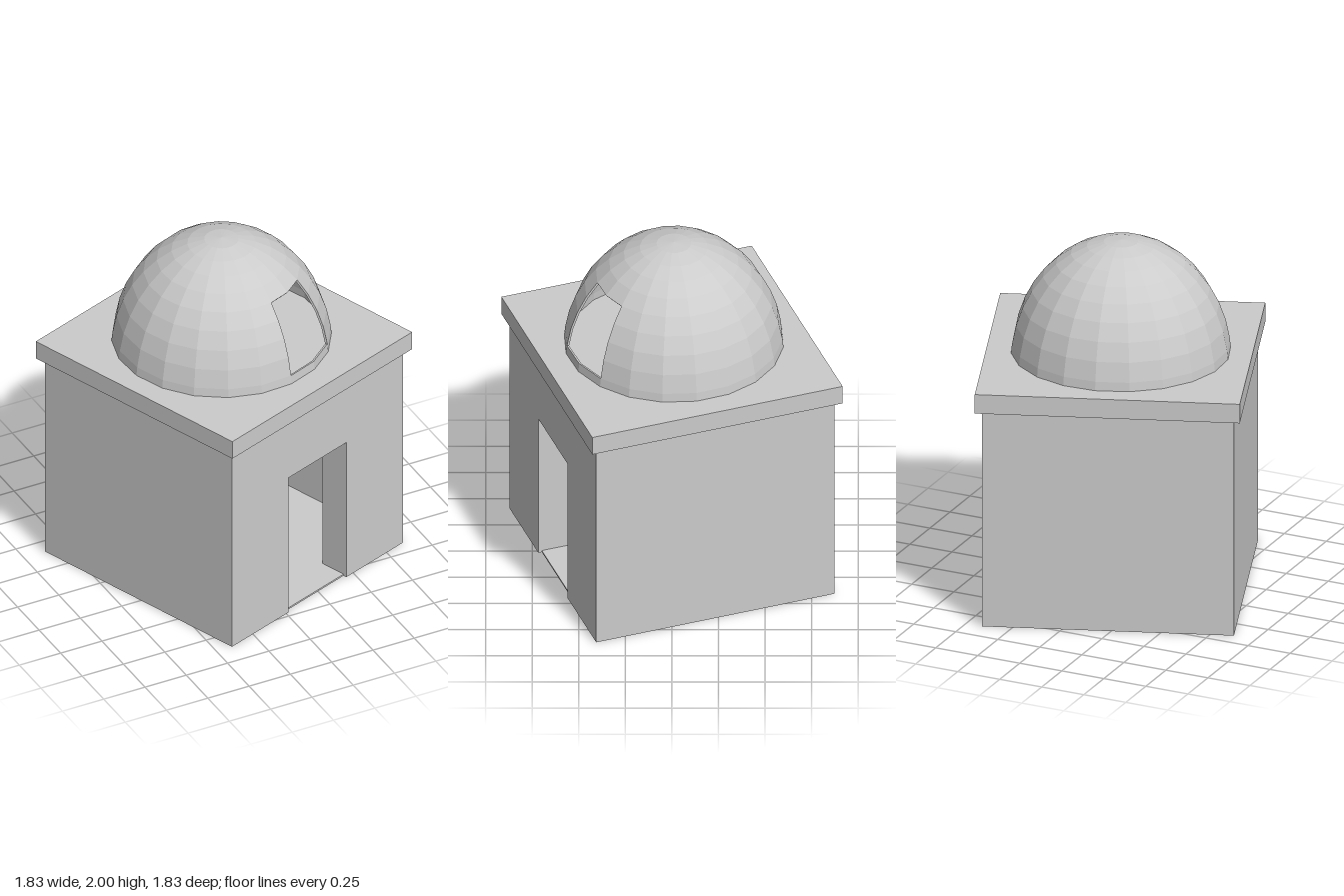
import * as THREE from 'three';
import { mergeVertices } from 'three/addons/utils/BufferGeometryUtils.js';

const deg = THREE.MathUtils.degToRad;
const grey = (side = THREE.FrontSide) =>
  new THREE.MeshStandardMaterial({ color: 0xcccccc, flatShading: true, side });
const solid = grey();
const inward = grey(THREE.BackSide);
const thin = grey(THREE.DoubleSide);

function add(parent, name, geometry, material = solid, x = 0, y = 0, z = 0) {
  const mesh = new THREE.Mesh(geometry, material);
  mesh.name = name;
  mesh.position.set(x, y, z);
  parent.add(mesh);
  return mesh;
}

const box = (parent, name, w, h, d, x, y, z) =>
  add(parent, name, new THREE.BoxGeometry(w, h, d), solid, x, y, z);

// Hollow square room with a doorway in a thick front wall
function buildRoom() {
  const room = new THREE.Group();
  room.name = 'room';
  const half = 0.68, height = 1.25, wall = 0.02, front = 0.175;
  const doorHalf = 0.23, doorTop = 0.87;

  const outline = new THREE.Shape([
    [-half, 0], [-doorHalf, 0], [-doorHalf, doorTop], [doorHalf, doorTop],
    [doorHalf, 0], [half, 0], [half, height], [-half, height],
  ].map(([x, y]) => new THREE.Vector2(x, y)));
  add(room, 'frontWall',
    new THREE.ExtrudeGeometry(outline, { depth: front, bevelEnabled: false }),
    solid, 0, 0, half - front);

  const sideDepth = 2 * half - front;
  for (const s of [-1, 1]) {
    box(room, s > 0 ? 'leftWall' : 'rightWall', wall, height, sideDepth,
      s * (half - wall / 2), height / 2, -front / 2);
  }
  box(room, 'backWall', 2 * (half - wall), height, wall, 0, height / 2, -half + wall / 2);
  box(room, 'floor', 2 * (half - wall), 0.01, 2 * (half - wall), 0, 0.005, 0);

  // Overhanging flat roof
  box(room, 'roofSlab', 1.43, 0.11, 1.43, 0, 1.305, 0);
  room.rotation.y = deg(20);
  return room;
}

// Faceted dome shell with a window two panels wide and four rows tall
function buildDome() {
  const dome = new THREE.Group();
  dome.name = 'dome';
  const start = 102, step = 18, top = 45, bottom = 81;
  const inner = 0.98;

  const patch = (phi, cols, theta, rows) => mergeVertices(new THREE.SphereGeometry(
    1, cols, rows, deg(phi), deg(cols * step), deg(theta), deg(rows * 9)));
  const patches = {
    domeCap: patch(start, 20, 0, 5),
    domeBand: patch(start + 2 * step, 18, top, 4),
    domeBase: patch(start, 20, bottom, 1),
  };
  for (const [name, geometry] of Object.entries(patches)) {
    add(dome, name, geometry);
    add(dome, name + 'Lining', geometry, inward).scale.setScalar(inner);
  }

  // Narrow reveal closing the shell around the window
  const loop = [];
  for (let i = 0; i < 2; i++) loop.push([start + i * step, top]);
  for (let i = 0; i < 4; i++) loop.push([start + 2 * step, top + i * 9]);
  for (let i = 2; i > 0; i--) loop.push([start + i * step, bottom]);
  for (let i = 4; i > 0; i--) loop.push([start, top + i * 9]);
  const points = [], index = [];
  loop.forEach(([phi, theta], i) => {
    const p = new THREE.Vector3(
      -Math.cos(deg(phi)) * Math.sin(deg(theta)),
      Math.cos(deg(theta)),
      Math.sin(deg(phi)) * Math.sin(deg(theta)));
    points.push(p, p.clone().multiplyScalar(inner));
    const a = 2 * i, b = 2 * ((i + 1) % loop.length);
    index.push(a, b, a + 1, b, b + 1, a + 1);
  });
  const reveal = new THREE.BufferGeometry().setFromPoints(points);
  reveal.setIndex(index);
  reveal.computeVertexNormals();
  add(dome, 'windowReveal', reveal, thin);

  dome.scale.set(0.594, 0.7, 0.594);
  dome.position.set(-0.01, 1.3, -0.01);
  return dome;
}

export function createModel() {
  const model = new THREE.Group();
  model.name = 'domedHouse';
  model.add(buildRoom(), buildDome());
  return model;
}
